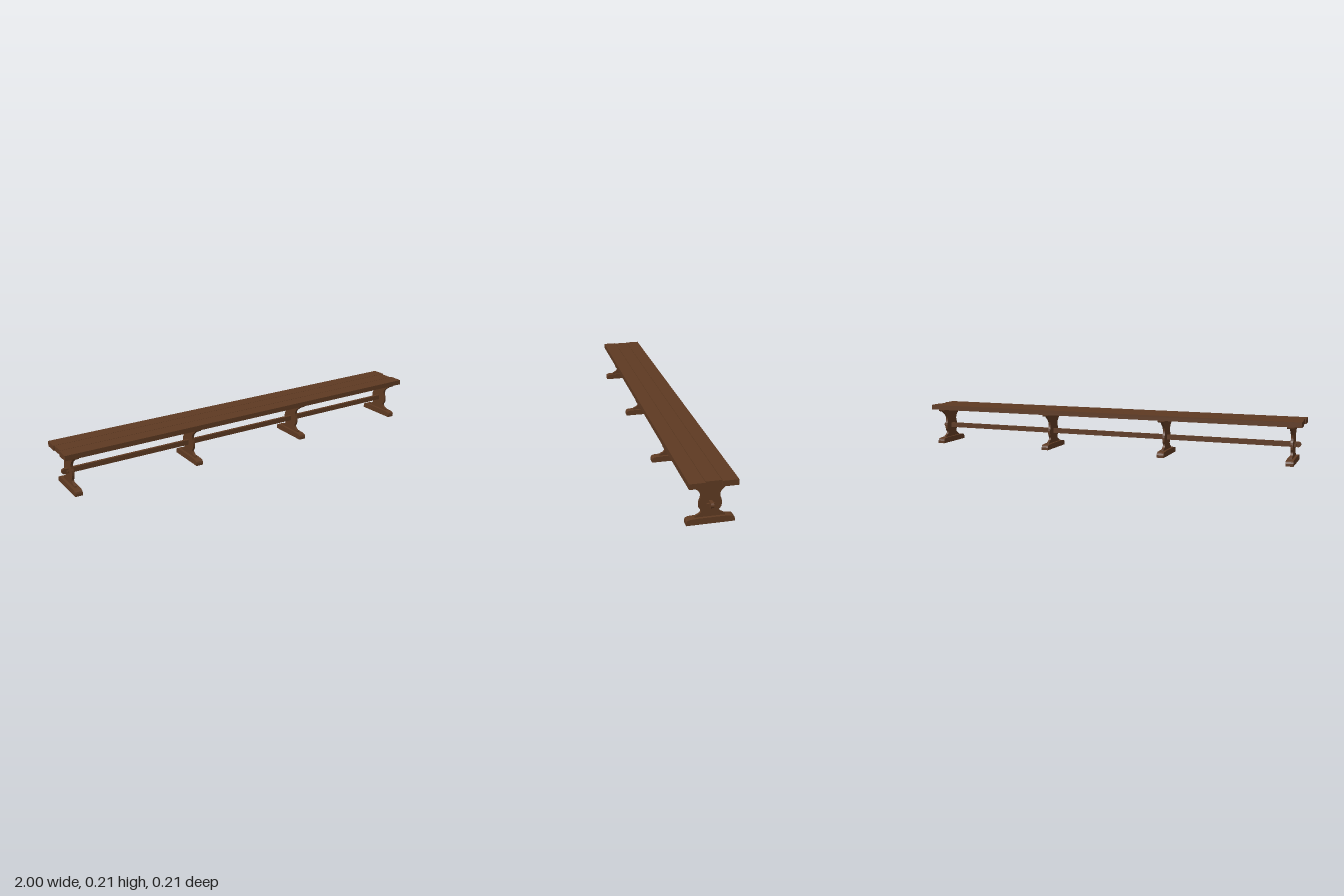
import * as THREE from 'three';

const wood = new THREE.MeshStandardMaterial({ color: 0x5e3a22 });
wood.name = 'brown wood';

function part(name, geometry, parent) {
  const mesh = new THREE.Mesh(geometry, wood);
  mesh.name = name;
  parent.add(mesh);
  return mesh;
}

function box(name, w, h, d, x, y, z, parent) {
  part(name, new THREE.BoxGeometry(w, h, d), parent).position.set(x, y, z);
}

// Extrudes a z/y outline, mirrored from its right half (listed bottom to top), along x
function mirroredSlab(half, thickness) {
  const right = half.map(([z, y]) => new THREE.Vector2(z, y));
  const left = half.map(([z, y]) => new THREE.Vector2(-z, y)).reverse();
  const geo = new THREE.ExtrudeGeometry(new THREE.Shape([...right, ...left]),
    { depth: thickness, bevelEnabled: false });
  return geo.translate(0, 0, -thickness / 2).rotateY(Math.PI / 2);
}

const footOutline = [[0.105, 0], [0.105, 0.013], [0.102, 0.021], [0.096, 0.025],
  [0.086, 0.027], [0.05, 0.0285]];
const legOutline = [[0.066, 0.026], [0.065, 0.034], [0.056, 0.039], [0.046, 0.044],
  [0.04, 0.051], [0.039, 0.057], [0.043, 0.063], [0.048, 0.07], [0.05, 0.08],
  [0.05, 0.093], [0.048, 0.104], [0.044, 0.113], [0.042, 0.123], [0.043, 0.133],
  [0.047, 0.142], [0.055, 0.152], [0.067, 0.161], [0.078, 0.169], [0.085, 0.177]];
const cleatOutline = [[0.091, 0.175], [0.094, 0.179], [0.095, 0.186]];

// Long rail with rounded ends, passing through every leg
function stretcherGeometry() {
  const s = new THREE.Shape();
  const x = 0.973, r = 0.0125;
  s.absarc(x, 0, r, -Math.PI / 2, Math.PI / 2, false);
  s.absarc(-x, 0, r, Math.PI / 2, Math.PI * 1.5, false);
  return new THREE.ExtrudeGeometry(s, { depth: 0.014, bevelEnabled: false, curveSegments: 8 })
    .translate(0, 0.0905, -0.007);
}

export function createModel() {
  const bench = new THREE.Group();
  bench.name = 'bench';

  // Seat: three long planks with narrow gaps, the middle one a little short
  box('frontPlank', 2, 0.025, 0.069, 0, 0.1975, 0.0713, bench);
  box('middlePlank', 1.985, 0.025, 0.069, -0.002, 0.1975, 0.0005, bench);
  box('backPlank', 2, 0.025, 0.069, 0, 0.1975, -0.0703, bench);

  // Four trestles: foot, shaped leg and cleat under the seat
  for (const x of [-0.948, -0.317, 0.314, 0.945]) {
    const trestle = new THREE.Group();
    trestle.name = 'trestle';
    trestle.position.x = x;
    part('foot', mirroredSlab(footOutline, 0.036), trestle);
    part('leg', mirroredSlab(legOutline, 0.012), trestle);
    part('cleat', mirroredSlab(cleatOutline, 0.034), trestle);
    bench.add(trestle);
  }

  part('stretcher', stretcherGeometry(), bench);

  // Locking pegs through the stretcher, just outside the end legs
  for (const side of [-1, 1]) {
    box('peg', 0.009, 0.009, 0.033, side * 0.959, 0.0885, 0.001, bench);
  }
  return bench;
}
